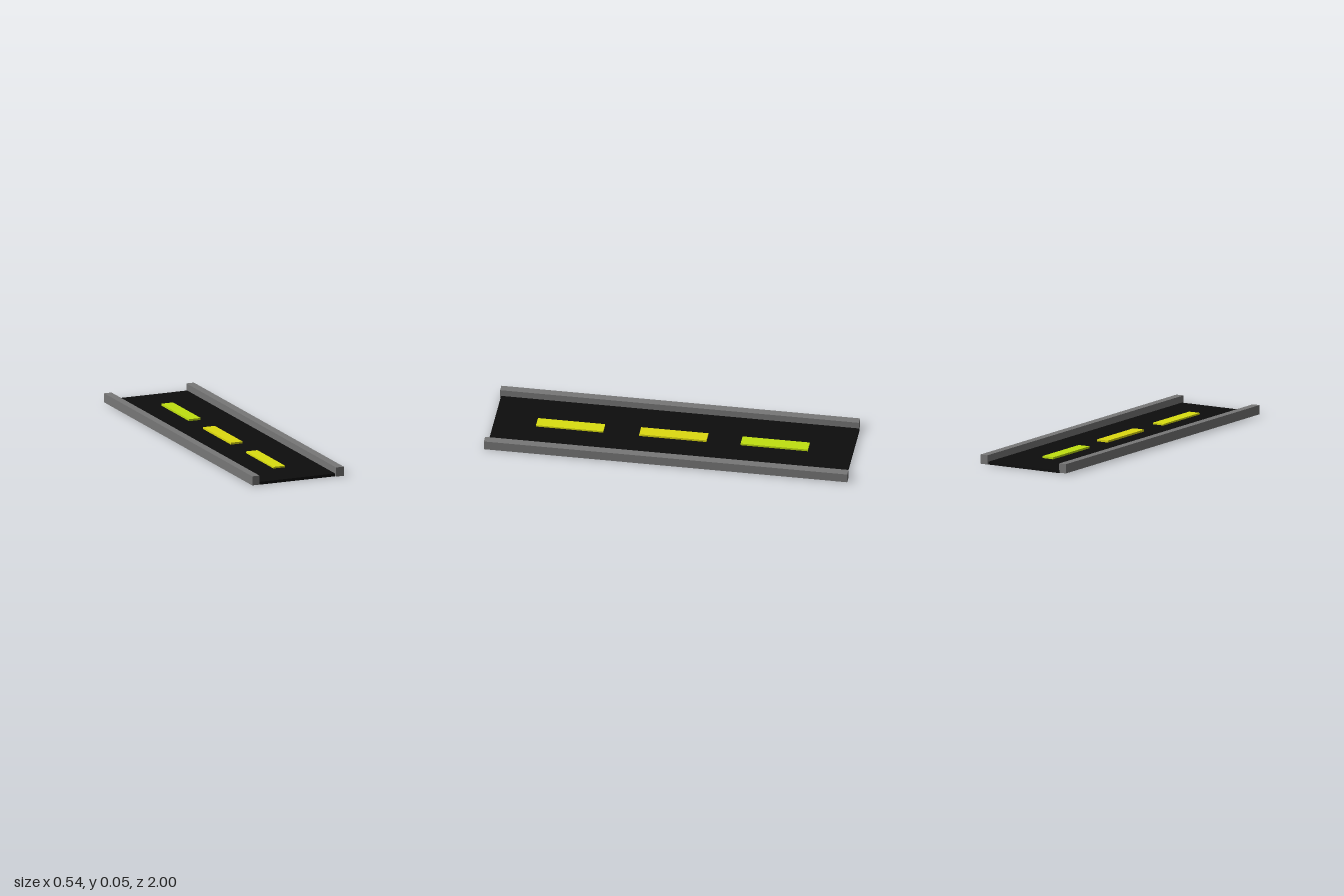
import * as THREE from 'three';

// Box given by its extents along each axis
function slab(name, color, [x0, x1], [y0, y1], [z0, z1]) {
  const mesh = new THREE.Mesh(
    new THREE.BoxGeometry(x1 - x0, y1 - y0, z1 - z0),
    new THREE.MeshStandardMaterial({ color })
  );
  mesh.position.set((x0 + x1) / 2, (y0 + y1) / 2, (z0 + z1) / 2);
  mesh.name = name;
  return mesh;
}

export function createModel() {
  const road = new THREE.Group();
  road.name = 'roadSection';

  // Asphalt surface
  road.add(slab('asphalt', 0x0d0d0d, [-0.228, 0.226], [0, 0.016], [-0.988, 0.984]));

  // Kerbs along both edges, slightly offset lengthwise
  road.add(slab('leftKerb', 0x777777, [0.225, 0.27], [0.002, 0.053], [-1, 1]));
  road.add(slab('rightKerb', 0x777777, [-0.27, -0.227], [0.002, 0.053], [-0.985, 0.99]));

  // Raised centre-line dashes
  const dashes = [
    ['rearDash', 0xc0e010, -0.56, 0.027],
    ['middleDash', 0xdeda10, -0.002, 0.027],
    ['frontDash', 0xdade10, 0.566, 0.025],
  ];
  for (const [name, color, z, top] of dashes) {
    road.add(slab(name, color, [-0.037, 0.032], [0.01, top], [z - 0.185, z + 0.185]));
  }
  return road;
}
